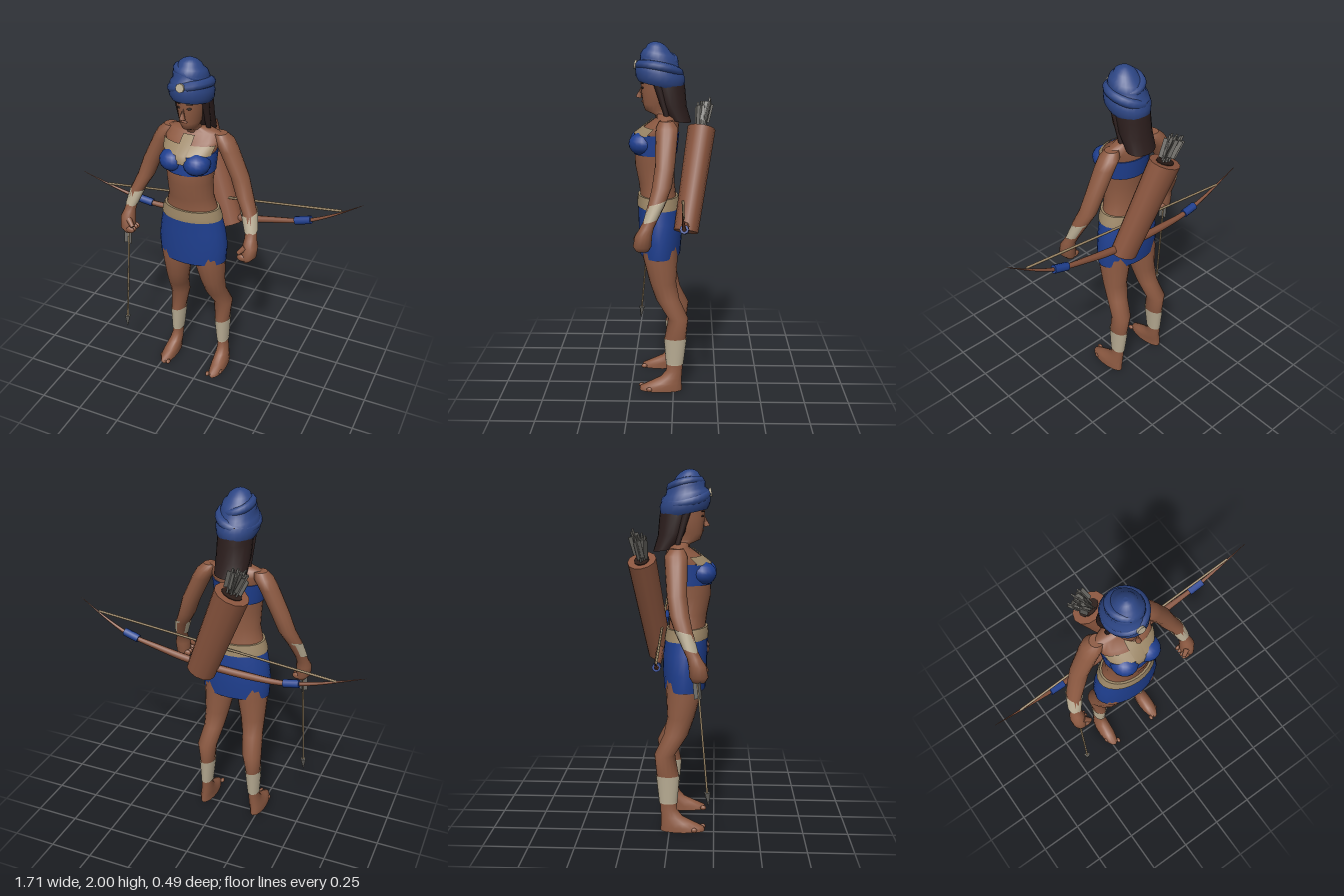
import * as THREE from 'three';

const mat = (name, color) => Object.assign(new THREE.MeshStandardMaterial({ color }), { name });
const skin = mat('skin', 0x8d5a42), blue = mat('blue cloth', 0x1f3f8f), turbanBlue = mat('turban blue', 0x2d4685);
const hairMat = mat('hair', 0x2c1e1d), beige = mat('beige cloth', 0x9c8767), wrapMat = mat('wrap', 0xb9ad94);
const wood = mat('wood', 0x83503a), leather = mat('leather', 0x8a553e), steel = mat('grey feather', 0x706e69);
const dark = mat('dark', 0x2a1b16);
beige.side = wrapMat.side = THREE.DoubleSide;

const V = (x, y, z) => new THREE.Vector3(x, y, z);
const mesh = (name, geo, m, parent, p) => {
  const o = new THREE.Mesh(geo, m);
  o.name = name;
  if (p) o.position.set(...p);
  parent.add(o);
  return o;
};

// Ring at height y, interpolated between keys [y, cx, cz, rx, rz]
function sample(keys, y) {
  let i = 0;
  while (i < keys.length - 2 && keys[i + 1][0] < y) i++;
  const a = keys[i], b = keys[i + 1], t = (y - a[0]) / (b[0] - a[0]);
  return a.map((v, k) => v + (b[k] - v) * t);
}

// Skin elliptical rings; arc < PI gives an open front patch
function loft(keys, { from = keys[0][0], to = keys.at(-1)[0], arc = Math.PI, grow = 0, seg = 18, tilt = 0, caps = true } = {}) {
  const ys = [from, ...keys.map(k => k[0]).filter(y => y > from + 1e-4 && y < to - 1e-4), to];
  const closed = arc === Math.PI, pos = [], idx = [], n = closed ? seg : seg + 1;
  const ring = y => {
    const [, cx, cz, rx, rz] = sample(keys, y);
    for (let i = 0; i < n; i++) {
      const a = -arc + 2 * arc * i / seg, dz = (rz + grow) * Math.cos(a);
      pos.push(cx + (rx + grow) * Math.sin(a), y + tilt * dz, cz + dz);
    }
  };
  ys.forEach(ring);
  for (let j = 0; j < ys.length - 1; j++) for (let i = 0; i < seg; i++) {
    const a = j * n + i, b = j * n + (i + 1) % n;
    idx.push(a, b, b + n, a, b + n, a + n);
  }
  if (closed && caps) for (const y of [from, to]) {
    const s = pos.length / 3, k = sample(keys, y);
    ring(y);
    pos.push(k[1], y, k[2]);
    for (let i = 0; i < n; i++) {
      const a = s + i, b = s + (i + 1) % n;
      idx.push(...(y === to ? [a, b, s + n] : [b, a, s + n]));
    }
  }
  const g = new THREE.BufferGeometry();
  g.setAttribute('position', new THREE.Float32BufferAttribute(pos, 3));
  g.setIndex(idx);
  g.computeVertexNormals();
  return g;
}

// Turn an object's +y from point a towards point b
function aim(o, a, b) {
  o.position.copy(a);
  o.quaternion.setFromUnitVectors(V(0, 1, 0), b.clone().sub(a).normalize());
  return o;
}
function rod(name, a, b, r0, r1, m, parent, seg = 8) {
  const len = a.distanceTo(b);
  return aim(mesh(name, new THREE.CylinderGeometry(r1, r0, len, seg).translate(0, len / 2, 0), m, parent), a, b);
}
function ball(name, p, s, m, parent) {
  const o = mesh(name, new THREE.SphereGeometry(1, 16, 10), m, parent, p);
  o.scale.set(...s);
  return o;
}

// Arrow pointing along +y, nock at the origin
function arrow(name, len, head) {
  const g = new THREE.Group();
  g.name = name;
  mesh('arrowShaft', new THREE.CylinderGeometry(0.006, 0.006, len, 6).translate(0, len / 2, 0), head ? beige : steel, g);
  for (let i = 0; i < 3; i++)
    mesh('feather', new THREE.BoxGeometry(0.026, 0.11, 0.004).translate(0.013, 0.08, 0), steel, g).rotation.y = i * Math.PI * 2 / 3;
  if (head) mesh('arrowHead', new THREE.ConeGeometry(0.02, 0.08, 4).translate(0, len + 0.02, 0), steel, g);
  return g;
}

const torso = [[0.8, 0, 0.08, 0.192, 0.108], [0.9, 0, 0.08, 0.198, 0.116], [1.0, 0, 0.082, 0.185, 0.115],
  [1.1, 0, 0.09, 0.163, 0.11], [1.15, 0, 0.092, 0.146, 0.102], [1.22, 0, 0.1, 0.128, 0.102], [1.32, 0, 0.11, 0.13, 0.112],
  [1.4, 0, 0.105, 0.138, 0.118], [1.5, 0, 0.095, 0.145, 0.118], [1.55, 0, 0.06, 0.16, 0.088],
  [1.585, 0, 0.045, 0.15, 0.055], [1.61, 0, 0.05, 0.06, 0.05]];
const headKeys = [[1.54, 0, 0.035, 0.062, 0.058], [1.6, 0, 0.055, 0.048, 0.052], [1.625, 0, 0.092, 0.042, 0.07],
  [1.66, 0, 0.09, 0.058, 0.084], [1.74, 0, 0.085, 0.07, 0.1], [1.85, 0, 0.08, 0.075, 0.108]];
const hairKeys = [[1.57, 0, -0.03, 0.09, 0.066], [1.66, 0, 0.015, 0.096, 0.085], [1.75, 0, 0.035, 0.096, 0.098],
  [1.85, 0, 0.05, 0.092, 0.1]];
const turbanKeys = [[1.765, 0, 0.078, 0.1, 0.122], [1.79, 0, 0.078, 0.115, 0.136], [1.83, 0, 0.078, 0.118, 0.138],
  [1.87, 0, 0.08, 0.106, 0.125], [1.885, 0, 0.08, 0.093, 0.108], [1.91, 0, 0.083, 0.095, 0.105], [1.94, 0, 0.085, 0.085, 0.09],
  [1.955, 0, 0.087, 0.066, 0.07], [1.975, 0, 0.09, 0.058, 0.058], [1.992, 0, 0.09, 0.036, 0.036], [2, 0, 0.09, 0.012, 0.012]];
const armKeys = s => [[0.91, 0.365, 0.165, 0.024, 0.034], [0.94, 0.375, 0.165, 0.042, 0.05], [1.0, 0.378, 0.157, 0.043, 0.046],
  [1.04, 0.373, 0.14, 0.033, 0.038], [1.08, 0.367, 0.12, 0.033, 0.037], [1.17, 0.34, 0.085, 0.041, 0.047],
  [1.25, 0.3, 0.06, 0.048, 0.053], [1.35, 0.265, 0.045, 0.052, 0.054], [1.5, 0.195, 0.038, 0.054, 0.06],
  [1.55, 0.166, 0.036, 0.055, 0.06], [1.585, 0.145, 0.04, 0.038, 0.038]].map(k => [k[0], s * k[1], ...k.slice(2)]);
const legKeys = s => [[0, 0.165, 0.075, 0.045, 0.125], [0.025, 0.165, 0.073, 0.045, 0.122], [0.05, 0.162, 0.045, 0.042, 0.093],
  [0.08, 0.158, 0.014, 0.037, 0.062], [0.12, 0.155, -0.004, 0.032, 0.047], [0.17, 0.152, -0.007, 0.031, 0.047],
  [0.32, 0.147, -0.01, 0.042, 0.062], [0.44, 0.142, -0.027, 0.058, 0.058], [0.55, 0.122, 0.035, 0.06, 0.068],
  [0.65, 0.112, 0.062, 0.072, 0.076], [0.8, 0.1, 0.078, 0.092, 0.1], [0.95, 0.095, 0.08, 0.088, 0.095]]
  .map(k => [k[0], s * k[1], ...k.slice(2)]);

export function createModel() {
  const root = new THREE.Group();
  root.name = 'archer';
  const body = new THREE.Group();
  body.name = 'figure';
  body.position.x = -0.07;
  root.add(body);

  // Torso and clothing
  mesh('torso', loft(torso, { from: 1, seg: 24 }), skin, body);
  mesh('skirt', loft(torso, { to: 1.1, grow: 0.008, seg: 24 }), blue, body);
  mesh('belt', loft(torso, { from: 1.08, to: 1.145, grow: 0.012, seg: 24, tilt: 0.06 }), beige, body);
  mesh('bandeau', loft(torso, { from: 1.385, to: 1.5, grow: 0.006, seg: 24 }), blue, body);
  mesh('necklace', loft(torso, { from: 1.495, to: 1.54, grow: 0.009, arc: 1.15 }), beige, body);
  mesh('pendant', loft(torso, { from: 1.45, to: 1.58, grow: 0.013, arc: 0.2, seg: 4 }), beige, body);

  for (const s of [-1, 1]) {
    const side = s > 0 ? 'left' : 'right';
    ball(side + 'Bust', [s * 0.07, 1.447, 0.175], [0.074, 0.064, 0.078], blue, body);
    // Limbs and their wraps
    mesh(side + 'Arm', loft(armKeys(s), { seg: 14 }), skin, body);
    mesh(side + 'WristWrap', loft(armKeys(s), { from: 1.08, to: 1.175, grow: 0.005, seg: 14, tilt: -0.3, caps: false }), wrapMat, body);
    mesh(side + 'Leg', loft(legKeys(s), { seg: 16 }), skin, body);
    mesh(side + 'AnkleWrap', loft(legKeys(s), { from: 0.16, to: 0.32, grow: 0.005, seg: 16, caps: false }), wrapMat, body);
    // Curled fingers and thumb
    for (let i = 0; i < 4; i++)
      ball(side + 'Finger', [s * 0.348, 0.935 + (i % 2) * 0.004, 0.135 + i * 0.022], [0.03, 0.02, 0.013], skin, body);
    rod(side + 'Thumb', V(s * 0.36, 1.0, 0.185), V(s * 0.325, 0.965, 0.205), 0.018, 0.012, skin, body);
    for (let i = 0; i < 5; i++)
      ball(side + 'Toe', [s * (0.134 + i * 0.016), 0.014, 0.187 - i * 0.012], [0.012, 0.014, 0.018], skin, body);
    // Eye and brow plates
    const eye = ball(side + 'Eye', [s * 0.03, 1.752, 0.175], [0.014, 0.006, 0.005], dark, body);
    eye.rotation.y = s * 0.4;
    const brow = ball(side + 'Brow', [s * 0.031, 1.777, 0.176], [0.018, 0.004, 0.005], dark, body);
    brow.rotation.y = s * 0.4;
    // Hair lock beside the face
    rod(side + 'HairLock', V(s * 0.078, 1.6, 0.04), V(s * 0.078, 1.82, 0.1), 0.014, 0.026, hairMat, body);
  }

  // Head
  mesh('head', loft(headKeys, { seg: 20 }), skin, body);
  const nose = mesh('nose', new THREE.ConeGeometry(0.017, 0.065, 6), skin, body, [0, 1.728, 0.19]);
  nose.rotation.x = -0.25;
  ball('lips', [0, 1.675, 0.176], [0.02, 0.007, 0.006], leather, body);
  mesh('hair', loft(hairKeys, { seg: 20, tilt: 0.15 }), hairMat, body);

  // Wrapped turban with diagonal folds and a brooch
  mesh('turban', loft(turbanKeys, { seg: 24, tilt: 0.2 }), turbanBlue, body);
  [[1.85, 0.098, 0.028, 0.25], [1.915, 0.074, 0.024, -0.3]].forEach(([y, r, t, roll], i) => {
    const fold = mesh('turbanFold' + i, new THREE.TorusGeometry(r, t, 8, 24), turbanBlue, body, [0, y, 0.082]);
    fold.rotation.set(Math.PI / 2 - 0.2, roll, 0);
    fold.scale.y = 1.1;
  });
  const brooch = mesh('brooch', new THREE.CylinderGeometry(0.024, 0.024, 0.012, 8), wrapMat, body, [0, 1.878, 0.216]);
  brooch.rotation.x = Math.PI / 2 - 0.2;

  // Tapered bow with two grips and a string
  const bow = new THREE.Group();
  bow.name = 'bow';
  root.add(bow);
  const curve = new THREE.CatmullRomCurve3([[-0.85, 1.105, -0.035], [-0.7, 1.055, -0.042], [-0.56, 1.015, -0.05], [-0.4, 0.985, -0.056],
    [-0.2, 0.985, -0.06], [0, 0.998, -0.064], [0.18, 1.02, -0.066], [0.36, 1.055, -0.066], [0.55, 1.1, -0.064],
    [0.7, 1.175, -0.06], [0.855, 1.275, -0.055]].map(p => V(...p)));
  const stave = new THREE.TubeGeometry(curve, 40, 1, 8), sp = stave.attributes.position, v = V(0, 0, 0);
  for (let i = 0; i < sp.count; i++) {
    const t = Math.floor(i / 9) / 40, c = curve.getPointAt(t);
    v.fromBufferAttribute(sp, i).sub(c).multiplyScalar(0.001 + 0.021 * Math.min(1, 2.6 * Math.min(t, 1 - t))).add(c);
    sp.setXYZ(i, v.x, v.y, v.z);
  }
  mesh('bowStave', stave, wood, bow);
  rod('bowGrip', V(-0.49, 1.0, -0.053), V(-0.4, 0.986, -0.056), 0.024, 0.024, blue, bow);
  rod('bowGrip', V(0.485, 1.083, -0.065), V(0.575, 1.111, -0.063), 0.024, 0.024, blue, bow);
  rod('bowString', V(-0.69, 1.055, -0.043), V(0.74, 1.21, -0.06), 0.007, 0.007, beige, bow, 6);

  // Quiver across the back, filled with arrows
  const bottom = V(0.09, 0.965, -0.07), top = V(-0.13, 1.515, -0.155), len = bottom.distanceTo(top);
  const quiver = aim(new THREE.Group(), bottom, top);
  quiver.name = 'quiver';
  root.add(quiver);
  mesh('quiverCase', new THREE.CylinderGeometry(0.1, 0.086, len, 12).translate(0, len / 2, 0), leather, quiver).scale.z = 0.8;
  mesh('quiverOpening', new THREE.CylinderGeometry(0.06, 0.06, 0.004, 12), dark, quiver, [0, len + 0.002, 0]).scale.z = 0.7;
  for (let i = 0; i < 7; i++) {
    const a = i * 2.4, r = 0.018 * Math.sqrt(i);
    const q = arrow('quiverArrow', 0.24, false);
    aim(q, V(r * Math.cos(a) * 1.2, len + 0.15 + 0.012 * (i % 3), r * Math.sin(a)), V(r * Math.cos(a) * 0.5, len - 0.1, 0));
    quiver.add(q);
  }

  // Arrow held in the right hand
  root.add(aim(arrow('handArrow', 0.67, true), V(-0.445, 0.96, 0.155), V(-0.46, 0.26, 0.218)));
  return root;
}
